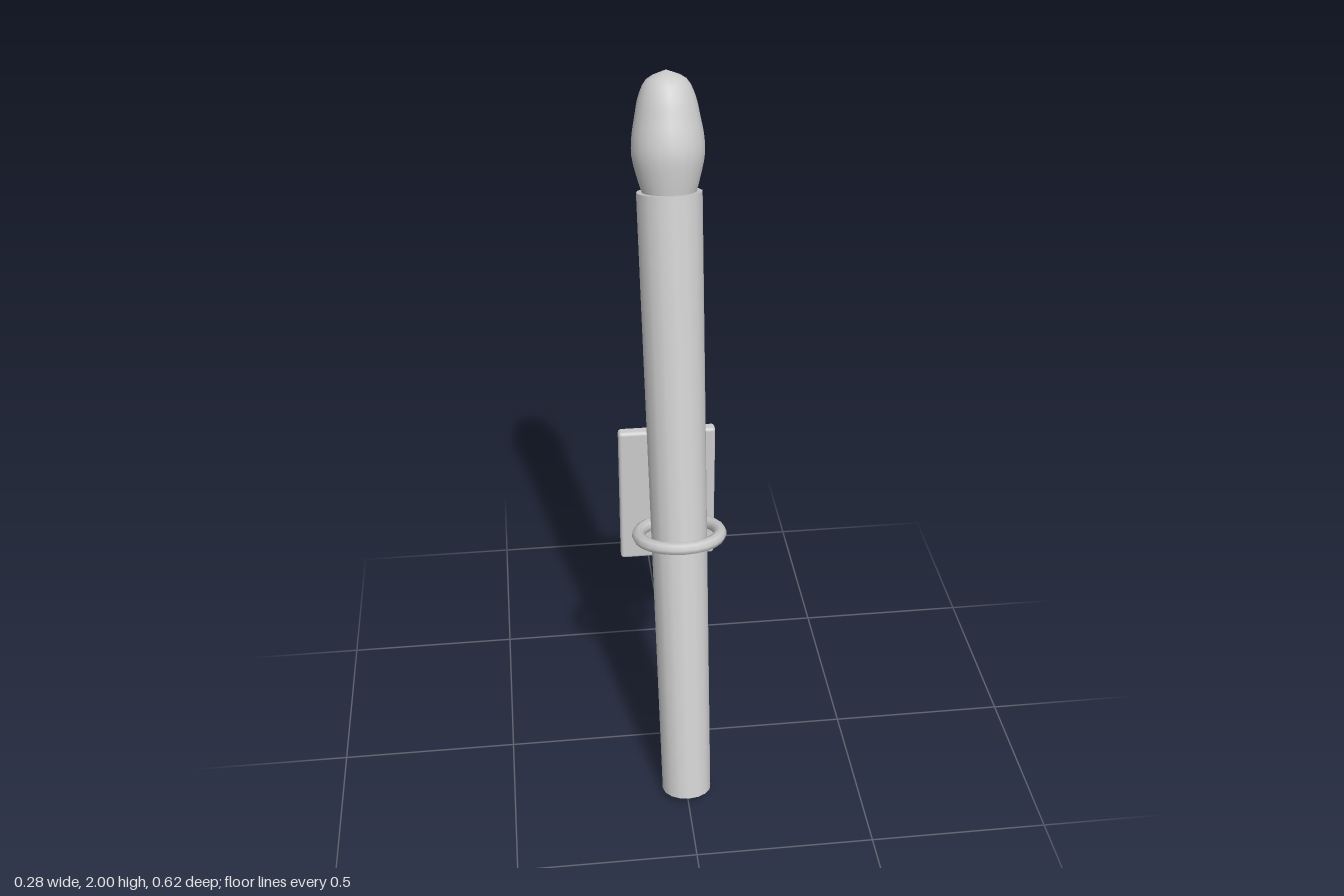
import * as THREE from 'three';
import { RoundedBoxGeometry } from 'three/addons/geometries/RoundedBoxGeometry.js';

const grey = new THREE.MeshStandardMaterial({ color: 0xcccccc });
const greyOpen = new THREE.MeshStandardMaterial({ color: 0xcccccc, side: THREE.DoubleSide });

function part(name, geometry, parent, material = grey) {
  const mesh = new THREE.Mesh(geometry, material);
  mesh.name = name;
  parent.add(mesh);
  return mesh;
}

// Turn a y-aligned object so that it runs from a to b, centred between them.
function span(object, a, b) {
  object.position.copy(a).lerp(b, 0.5);
  object.quaternion.setFromUnitVectors(new THREE.Vector3(0, 1, 0), b.clone().sub(a).normalize());
}

export function createModel() {
  const model = new THREE.Group();
  model.name = 'wallTorch';

  // Leaning torch: built upright around its middle, then tilted to the wall
  const foot = new THREE.Vector3(0, 0.018, 0.249);
  const rim = new THREE.Vector3(0, 1.703, -0.175);
  const length = foot.distanceTo(rim);
  const torch = new THREE.Group();
  torch.name = 'torch';
  span(torch, foot, rim);
  model.add(torch);

  part('shaft', new THREE.CylinderGeometry(0.086, 0.07, length, 16), torch);

  // Bulbous flame head, rounded at the tip
  const profile = new THREE.SplineCurve([
    [0.068, -0.01], [0.08, 0.03], [0.094, 0.09], [0.093, 0.14],
    [0.084, 0.19], [0.073, 0.24], [0.05, 0.283], [0, 0.304],
  ].map(([r, y]) => new THREE.Vector2(r, y))).getPoints(20);
  profile.forEach((p) => { p.x = Math.max(p.x, 0); });
  const flame = part('flameHead', new THREE.LatheGeometry(profile, 20), torch);
  flame.position.y = length / 2;

  // Holding ring, square to the shaft
  const ring = part('holdingRing', new THREE.TorusGeometry(0.113, 0.018, 8, 24), torch);
  ring.rotation.x = Math.PI / 2;
  ring.position.y = -0.073;

  // Arm sloping down from the ring toward the wall
  const armStart = new THREE.Vector3(0, 0.758, -0.052);
  const armEnd = new THREE.Vector3(0, 0.645, -0.232);
  const arm = part('bracketArm',
    new THREE.CylinderGeometry(0.018, 0.018, armStart.distanceTo(armEnd), 10, 1, true), model, greyOpen);
  span(arm, armStart, armEnd);

  // Wall plate with softened edges
  const plate = part('wallPlate', new RoundedBoxGeometry(0.282, 0.444, 0.036, 3, 0.01), model);
  plate.position.set(0, 0.707, -0.272);

  return model;
}
